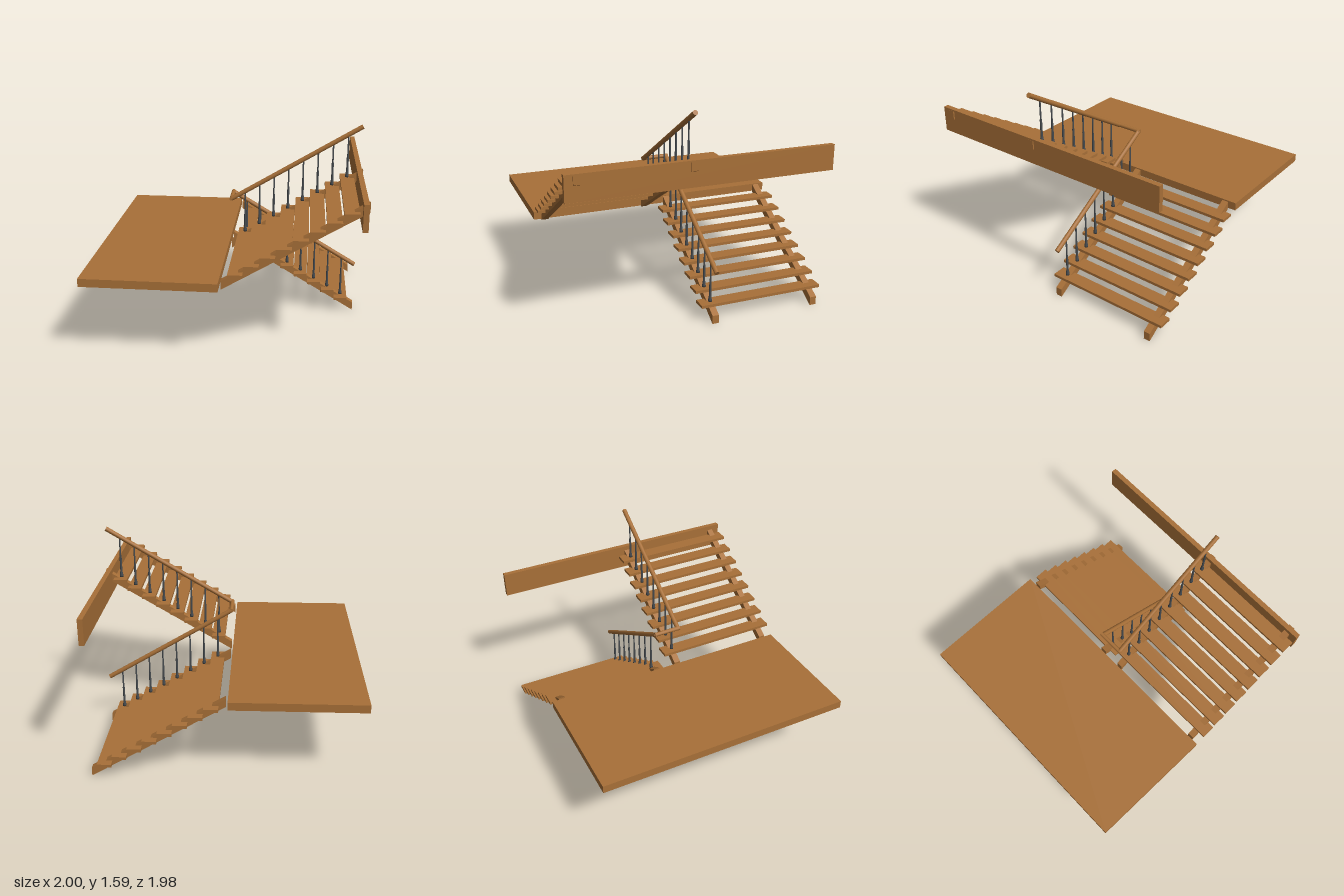
import * as THREE from 'three';

const SLOPE = 0.6;
const wood = new THREE.MeshStandardMaterial({ color: 0xa87038 });
wood.name = 'warm wood';
const iron = new THREE.MeshStandardMaterial({ color: 0x474c50 });
iron.name = 'dark iron';

function add(parent, name, geometry, material, x = 0, y = 0, z = 0) {
  const mesh = new THREE.Mesh(geometry, material);
  mesh.name = name;
  mesh.position.set(x, y, z);
  parent.add(mesh);
  return mesh;
}

// Box given by its lower and upper limits
function block(parent, name, [x0, x1], [y0, y1], [z0, z1]) {
  return add(parent, name, new THREE.BoxGeometry(x1 - x0, y1 - y0, z1 - z0), wood,
    (x0 + x1) / 2, (y0 + y1) / 2, (z0 + z1) / 2);
}

// Round bar between two points
function bar(parent, name, a, b, radius) {
  const dir = b.clone().sub(a);
  const mesh = add(parent, name, new THREE.CylinderGeometry(radius, radius, dir.length(), 12), wood);
  mesh.position.copy(a).addScaledVector(dir, 0.5);
  mesh.quaternion.setFromUnitVectors(new THREE.Vector3(0, 1, 0), dir.normalize());
}

// Sloping beam with upright end cuts
function stringerGeometry(rise, length) {
  const shape = new THREE.Shape();
  shape.moveTo(0, 0.6);
  shape.lineTo(length, 0.6 + rise * length);
  shape.lineTo(length, 0.664 + rise * length);
  shape.lineTo(0, 0.664);
  shape.closePath();
  return new THREE.ExtrudeGeometry(shape, { depth: 0.05, bevelEnabled: false }).translate(0, 0, -0.025);
}

// Post with a flared foot, a thick lower shaft and a thin upper shaft
const balusterGeometry = new THREE.LatheGeometry([
  [0, 0], [0.014, 0], [0.014, 0.012], [0.010, 0.04], [0.0085, 0.05],
  [0.0085, 0.17], [0.006, 0.18], [0.006, 0.325], [0, 0.325],
].map(([r, y]) => new THREE.Vector2(r, y)), 10);

// One flight: dir = 1 climbs away from the landing, -1 descends
function createFlight(name, dir) {
  const flight = new THREE.Group();
  flight.name = name;
  const rise = SLOPE * dir;
  const railZ = 0.094 * dir;
  const firstTread = dir > 0 ? 0.725 : 0.595;

  const stringer = stringerGeometry(rise, dir > 0 ? 0.995 : 0.98);
  for (const z of [0.094, 0.905]) add(flight, 'stringer', stringer, wood, 0, 0, z * dir);

  const tread = new THREE.BoxGeometry(0.105, 0.022, 0.98);
  for (let i = 0; i < 8; i++) {
    const x = 0.103 + i * 0.1105;
    const y = firstTread + i * 0.0663 * dir;
    add(flight, 'tread', tread, wood, x, y, 0.497 * dir);
    add(flight, 'baluster', balusterGeometry, iron, x, y + 0.011, railZ);
  }

  bar(flight, 'handrail', new THREE.Vector3(-0.005, 1, railZ),
    new THREE.Vector3(0.98, 1 + rise * 0.985, railZ), 0.018);
  return flight;
}

export function createModel() {
  const model = new THREE.Group();
  model.name = 'staircase';

  block(model, 'landing', [-1, -0.015], [0.603, 0.664], [-0.985, 0.985]);
  block(model, 'upperFloorBeam', [0.947, 0.985], [1.077, 1.268], [-0.99, 0.99]);

  model.add(createFlight('upperFlight', 1), createFlight('lowerFlight', -1));

  // Short rail joining the two handrails at the turn
  bar(model, 'handrailReturn', new THREE.Vector3(-0.005, 1.002, -0.108),
    new THREE.Vector3(-0.005, 1.002, 0.108), 0.016);
  return model;
}
